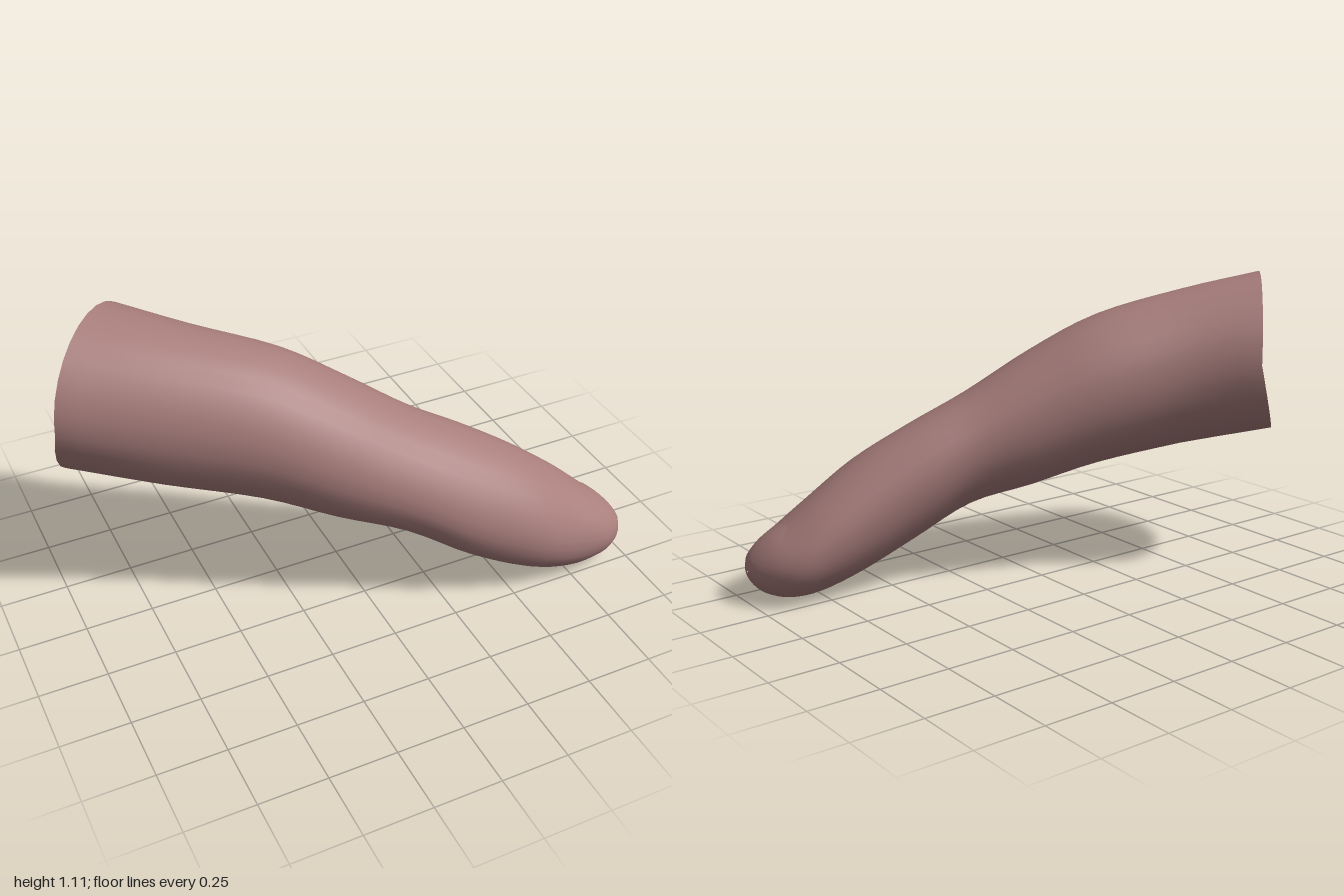
import * as THREE from 'three';

const SIDES = 28;

// Cross-sections from base to tip: back edge x, z, front edge x, z, top y, bottom y, roll
const SECTIONS = [
  [-0.57, -0.54, -1.0, -0.07, 1.11, 0.525, 0],
  [-0.36, -0.37, -0.72, 0.06, 1.05, 0.47, 0],
  [-0.1, -0.22, -0.4, 0.2, 0.965, 0.41, 0],
  [0.1, -0.1, -0.15, 0.31, 0.84, 0.335, 0.01],
  [0.28, 0.0, 0.1, 0.4, 0.7, 0.275, 0.03],
  [0.45, 0.06, 0.33, 0.485, 0.595, 0.16, 0.05],
  [0.62, 0.115, 0.56, 0.535, 0.485, 0.06, 0.05],
  [0.77, 0.16, 0.74, 0.535, 0.37, 0.01, 0.04],
  [0.87, 0.2, 0.87, 0.523, 0.28, 0.01, 0.02],
  [0.94, 0.26, 0.945, 0.492, 0.22, 0.035, 0.01],
  [0.983, 0.33, 0.983, 0.452, 0.17, 0.075, 0],
  [1.0, 0.39, 1.0, 0.4, 0.125, 0.12, 0],
];

// Smooth interpolation of one cross-section at position s along the finger
function sectionAt(s) {
  const last = SECTIONS.length - 1;
  const i = Math.min(Math.floor(s), last - 1);
  const t = s - i;
  const at = (k) => SECTIONS[Math.max(0, Math.min(last, k))];
  return SECTIONS[0].map((_, n) => {
    const [a, b, c, d] = [at(i - 1)[n], at(i)[n], at(i + 1)[n], at(i + 2)[n]];
    const m0 = i === 0 ? c - b : (c - a) / 2;
    const m1 = i === last - 1 ? c - b : (d - b) / 2;
    return b + m0 * t + (3 * (c - b) - 2 * m0 - m1) * t * t + (2 * (b - c) + m0 + m1) * t ** 3;
  });
}

// Ring of points around one cross-section
function ring(s, from = 0, to = Math.PI * 2, lift = 0, closed = true) {
  const [bx, bz, fx, fz, top, bottom, roll] = sectionAt(s);
  const lean = 0.06 * Math.max(0, 1 - s);
  const points = [];
  const count = closed ? SIDES : SIDES + 1;
  for (let j = 0; j < count; j++) {
    const a = from + ((to - from) * j) / SIDES;
    const c = Math.cos(a), v = Math.sin(a);
    const out = lean * Math.max(0, -v);
    const p = new THREE.Vector3(
      (bx + fx) / 2 + (c * (bx - fx)) / 2 - 0.74 * out,
      (top + bottom) / 2 + (v * (top - bottom)) / 2 + roll * c,
      (bz + fz) / 2 + (c * (bz - fz)) / 2 - 0.68 * out
    );
    const centre = new THREE.Vector3((bx + fx) / 2, (top + bottom) / 2, (bz + fz) / 2);
    points.push(p.addScaledVector(p.clone().sub(centre).normalize(), lift));
  }
  return points;
}

// Skin over a list of rings
function loft(rings, closed = true) {
  const n = rings[0].length;
  const index = [];
  for (let i = 0; i < rings.length - 1; i++) {
    for (let j = 0; j < (closed ? n : n - 1); j++) {
      const k = (j + 1) % n;
      const a = i * n + j, b = i * n + k, c = b + n, d = a + n;
      index.push(a, b, c, a, c, d);
    }
  }
  const geometry = new THREE.BufferGeometry().setFromPoints(rings.flat());
  geometry.setIndex(index);
  geometry.computeVertexNormals();
  return geometry;
}

export function createModel() {
  const group = new THREE.Group();
  group.name = 'finger';
  const skin = new THREE.MeshStandardMaterial({ color: 0xa87e7c });
  skin.name = 'skin';
  const add = (name, geometry) => {
    const mesh = new THREE.Mesh(geometry, skin);
    mesh.name = name;
    group.add(mesh);
  };

  // Main body with rounded tip
  const bodyRings = [];
  const steps = (SECTIONS.length - 1) * 4;
  for (let i = 0; i <= steps; i++) bodyRings.push(ring(i / 4));
  add('fingerBody', loft(bodyRings));

  // Base face, slightly dished, with a round socket in the middle
  const rim = ring(0);
  const centre = rim.reduce((sum, p) => sum.add(p), new THREE.Vector3()).divideScalar(SIDES);
  const inward = new THREE.Vector3(0.74, -0.08, 0.67).normalize();
  const baseRing = (scale, depth) =>
    rim.map((p) => centre.clone().lerp(p, scale).addScaledVector(inward, depth));
  add('baseFace', loft([baseRing(0.31, 0.02), baseRing(0.65, 0.012), rim]));
  add('socketWall', loft([baseRing(0.29, 0.14), baseRing(0.31, 0.02)]));
  add('socketEnd', loft([baseRing(0.01, 0.17), baseRing(0.29, 0.14)]));

  // Thin fingernail over the top of the tip
  const nailRings = [];
  for (let i = 0; i <= 10; i++) {
    const t = i / 10;
    const half = 0.75 * Math.sqrt(Math.min(1, 0.25 + 2.5 * t));
    const lift = 0.005 * Math.min(1, t * 4);
    nailRings.push(ring(8 + 2.2 * t, 1.75 - half, 1.75 + half, lift, false));
  }
  add('fingernail', loft(nailRings, false));

  return group;
}
